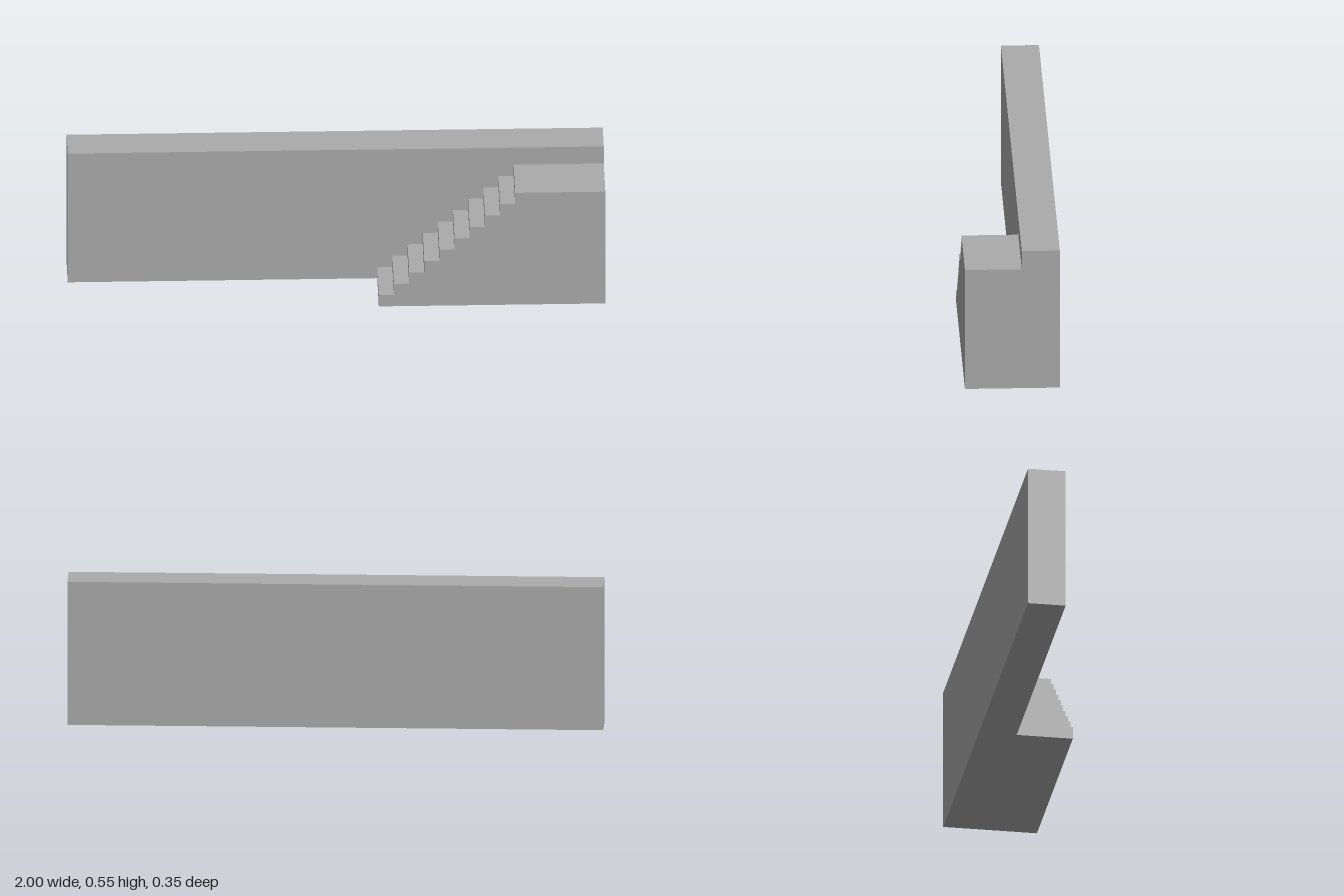
import * as THREE from 'three';

export function createModel() {
  const group = new THREE.Group();
  const stone = new THREE.MeshStandardMaterial({ color: 0xababab });
  stone.name = 'grey stone';

  const backZ = -0.177, joinZ = -0.035, frontZ = 0.177;

  // Long straight wall
  const wallHeight = 0.553;
  const wall = new THREE.Mesh(new THREE.BoxGeometry(2, wallHeight, joinZ - backZ), stone);
  wall.name = 'wall';
  wall.position.set(0, wallHeight / 2, (backZ + joinZ) / 2);
  group.add(wall);

  // Solid staircase rising to a landing at the wall's left end
  const steps = 10, startX = 0.155, rise = 0.048, tread = 0.0565;
  const profile = new THREE.Shape();
  profile.moveTo(startX, 0);
  profile.lineTo(1, 0);
  profile.lineTo(1, steps * rise);
  for (let i = steps - 1; i >= 0; i--) {
    profile.lineTo(startX + i * tread, (i + 1) * rise);
    if (i > 0) profile.lineTo(startX + i * tread, i * rise);
  }
  const stairs = new THREE.Mesh(
    new THREE.ExtrudeGeometry(profile, { depth: frontZ - joinZ, bevelEnabled: false }), stone);
  stairs.name = 'stairsAndLanding';
  stairs.position.z = joinZ;
  group.add(stairs);

  return group;
}
